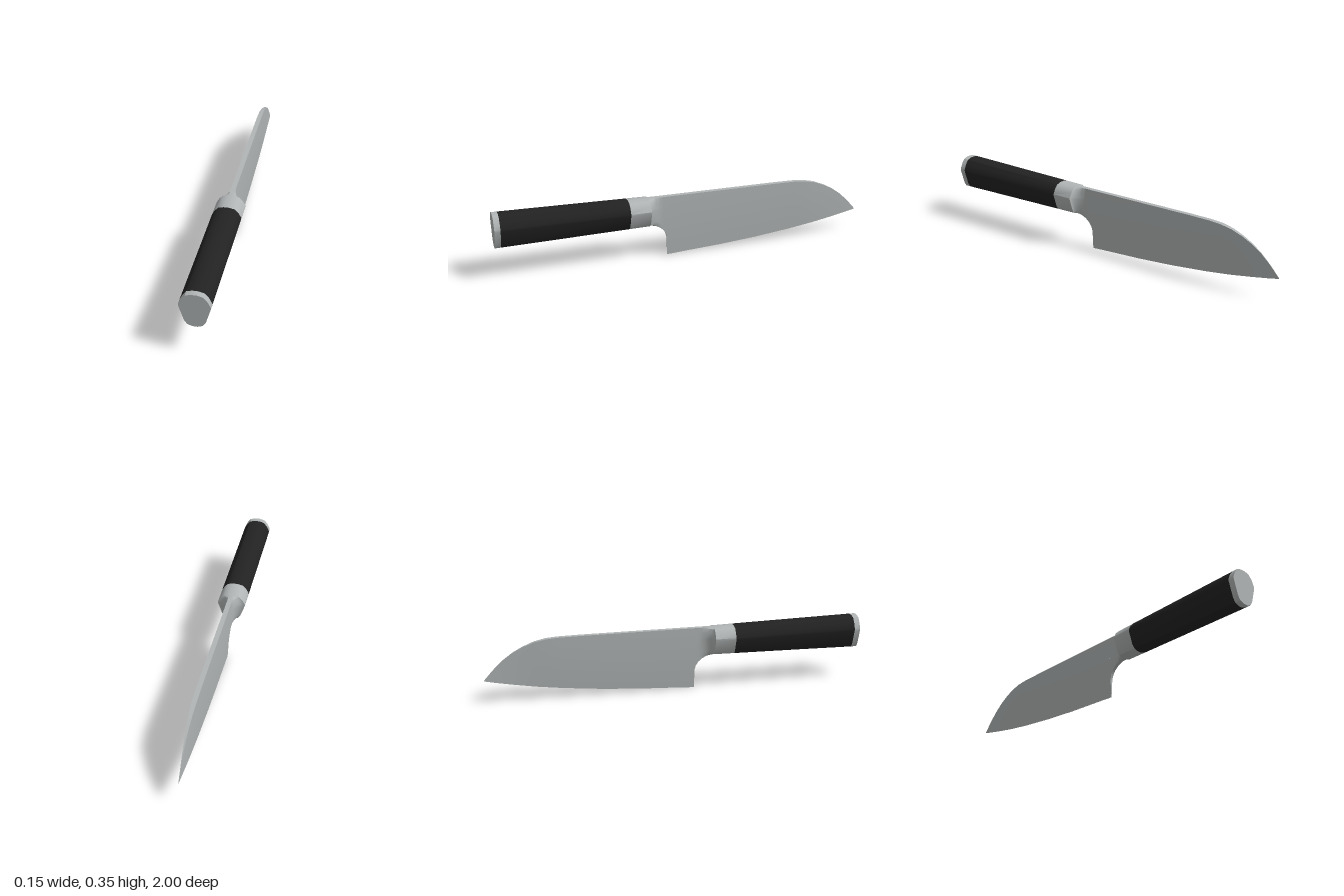
import * as THREE from 'three';
import { toCreasedNormals } from 'three/addons/utils/BufferGeometryUtils.js';

const lerp = THREE.MathUtils.lerp;

// Half cross-section of the handle: [half width, fraction of the height from the top]
const HALF = [[0.015, 0], [0.042, 0.045], [0.06, 0.17], [0.074, 0.335], [0.073, 0.4],
  [0.05, 0.83], [0.036, 0.95], [0.012, 1]];

// Straight-line lookup in a list of [z, y] pairs with falling z
function lookup(pairs, z) {
  let i = 0;
  while (i < pairs.length - 2 && z < pairs[i + 1][0]) i++;
  const [z0, y0] = pairs[i], [z1, y1] = pairs[i + 1];
  return lerp(y0, y1, (z - z0) / (z1 - z0));
}

// Closed ring: down the +x side, then back up the -x side
function ring(z, half) {
  const right = half.map(([x, y]) => [x, y, z]);
  const left = half.map(([x, y]) => [-x, y, z]).reverse();
  return [...right, ...left];
}

// Skin over rings ordered from +z to -z, with flat ends
function loft(rings, crease) {
  const n = rings[0].length, last = (rings.length - 1) * n, index = [];
  for (let r = 0; r < rings.length - 1; r++) {
    for (let i = 0; i < n; i++) {
      const a = r * n + i, b = r * n + (i + 1) % n;
      index.push(a, b, a + n, b, b + n, a + n);
    }
  }
  // End caps are stitched in strips between the two mirrored sides
  for (let i = 0; i < n / 2 - 1; i++) {
    const a = i, b = i + 1, c = n - 2 - i, d = n - 1 - i;
    index.push(a, c, b, a, d, c);
    index.push(last + a, last + b, last + c, last + a, last + c, last + d);
  }
  const g = new THREE.BufferGeometry();
  g.setAttribute('position', new THREE.Float32BufferAttribute(rings.flat(2), 3));
  g.setIndex(index);
  return toCreasedNormals(g, crease);
}

// Handle section at z, slightly taller towards the butt
const handleTop = z => lerp(0.335, 0.353, (z - 0.2) / 0.8);
const handleBottom = z => lerp(0.184, 0.172, (z - 0.2) / 0.8);
const handleRing = z => ring(z, HALF.map(([x, t]) => [x, lerp(handleTop(z), handleBottom(z), t)]));

// Blade outline
const SPINE = [[0.1, 0.335], [-0.5, 0.333], [-0.62, 0.331], [-0.68, 0.326], [-0.74, 0.313], [-0.8, 0.289],
  [-0.85, 0.262], [-0.9, 0.226], [-0.94, 0.189], [-0.97, 0.157], [-1, 0.123]];
const EDGE = [[0.1, 0], [0, 0.006], [-0.2, 0.016], [-0.4, 0.031], [-0.6, 0.052], [-0.74, 0.071],
  [-0.85, 0.09], [-0.94, 0.107], [-1, 0.12]];

// Half thickness: hollow wedge from spine to edge, thinning at the tip
function thickness(y, z) {
  const u = Math.min(1, Math.max(0, (y - lookup(EDGE, Math.min(z, 0.1))) / 0.335));
  return 0.0004 + 0.0122 * (1 - (1 - u) ** 2) * Math.min(1, (z + 1) / 0.32);
}

function bladeRing(z) {
  const half = [];
  for (let i = 0; i <= 10; i++) {
    const y = lerp(lookup(SPINE, z), lookup(EDGE, z), i / 10);
    half.push([thickness(y, z), y]);
  }
  return ring(z, half);
}

// Bolster neck: concave sweep from the handle section down to blade thickness
const THROAT = [[0.2, 0.184], [0.18, 0.181], [0.16, 0.175], [0.14, 0.164], [0.12, 0.146], [0.107, 0.125], [0.1, 0.1]];
function neckRing(z) {
  const s = Math.max(0, (z - 0.12) / 0.08);
  const k = 1 - Math.sqrt(Math.max(0, 1 - s * s));
  return ring(z, HALF.map(([x, t]) => {
    const y = lerp(0.335, lookup(THROAT, z), t);
    return [lerp(thickness(y, z), x, k), y];
  }));
}

export function createModel() {
  const steel = new THREE.MeshStandardMaterial({ color: 0xb1b5b5 });
  steel.name = 'steel';
  const black = new THREE.MeshStandardMaterial({ color: 0x222222 });
  black.name = 'black grip';

  const model = new THREE.Group();
  model.name = 'kitchenKnife';
  const add = (name, rings, material, crease = 0.6) => {
    const mesh = new THREE.Mesh(loft(rings, crease), material);
    mesh.name = name;
    model.add(mesh);
  };

  add('endCap', [1, 0.97].map(handleRing), steel);
  add('grip', [0.97, 0.31].map(handleRing), black);

  const neck = [0.199, 0.196, 0.19, 0.18, 0.17, 0.16, 0.15, 0.14, 0.13, 0.12, 0.107, 0.1];
  add('bolster', [handleRing(0.31), handleRing(0.2), ...neck.map(neckRing)], steel);

  // Blade sections at every bend of the spine and edge
  const stations = [...new Set([...SPINE, ...EDGE].map(p => p[0]))].sort((a, b) => b - a);
  add('blade', stations.map(bladeRing), steel, 0.5);
  return model;
}
